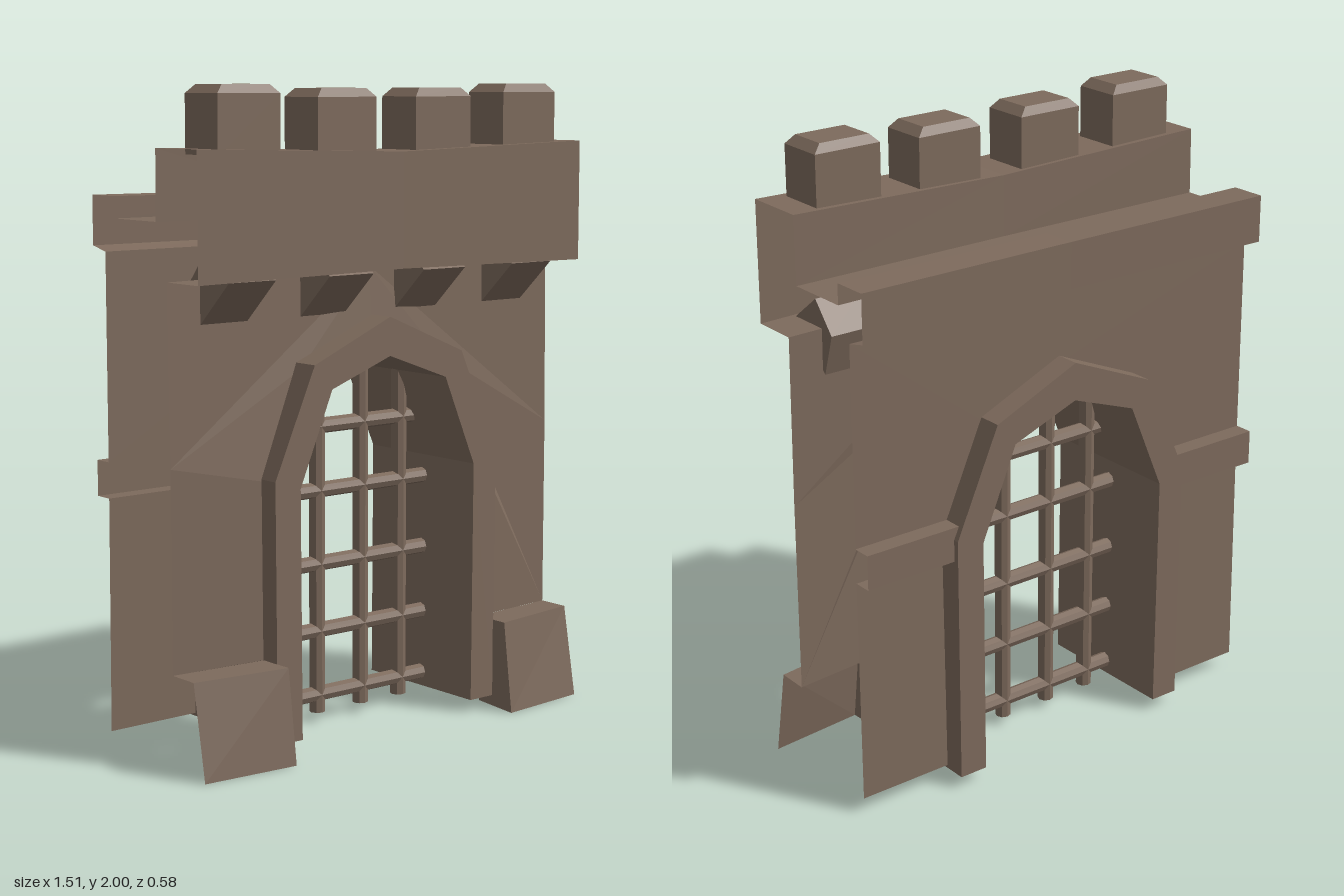
import * as THREE from 'three';

const W = 0.755; // half width of the wall
const stone = new THREE.MeshStandardMaterial({ color: 0x7d6a5c, side: THREE.DoubleSide, flatShading: true });
stone.name = 'brownStone';

// Arch half outlines, from the foot to the crown
const OUTER = [[0.44, 0.04], [0.445, 0.84], [0.295, 1.175], [0, 1.3]];
const INNER = [[0.345, 0.04], [0.35, 0.81], [0.228, 1.097], [0, 1.18]];
const HOLE = [[0.42, 0.04], [0.425, 0.83], [0.28, 1.155], [0, 1.275]]; // wall edge buried in the arch

const mirrorX = pts => pts.map(([x, y]) => [-x, y]).reverse();
const fullArch = half => [...half, ...mirrorX(half).slice(1)];
const toShape = pts => new THREE.Shape(pts.map(([x, y]) => new THREE.Vector2(x, y)));

// Skin between rows of 3D points; side -1 builds the mirror image
function loft(rows, side = 1) {
  const r = side > 0 ? rows : rows.map(row => row.map(([x, y, z]) => [-x, y, z])).reverse();
  const pos = [];
  for (let i = 0; i + 1 < r.length; i++) {
    for (let j = 0; j + 1 < r[i].length; j++) {
      const a = r[i][j], b = r[i + 1][j], c = r[i + 1][j + 1], d = r[i][j + 1];
      pos.push(...a, ...b, ...c, ...a, ...c, ...d);
    }
  }
  const g = new THREE.BufferGeometry();
  g.setAttribute('position', new THREE.Float32BufferAttribute(pos, 3));
  g.computeVertexNormals();
  return g;
}

// Place a [z, y] profile at x
const at = (x, profile) => profile.map(([z, y]) => [x, y, z]);
// Slightly bowed band across the full width
const band = (ends, mid) => loft([at(-W, ends), at(0, mid), at(W, ends)]);

// Flat wall sheet whose depth follows a rule
function sheet(pts, depth, back = false) {
  let g = new THREE.ShapeGeometry(toShape(pts));
  if (back) g.rotateY(Math.PI);
  g = g.toNonIndexed();
  const p = g.attributes.position;
  for (let i = 0; i < p.count; i++) p.setZ(i, depth(Math.abs(p.getX(i)), p.getY(i)));
  g.computeVertexNormals();
  return g;
}

export function createModel() {
  const model = new THREE.Group();
  model.name = 'castleGate';
  const add = (name, geometry, x = 0, y = 0, z = 0) => {
    const m = new THREE.Mesh(geometry, stone);
    m.name = name;
    m.position.set(x, y, z);
    model.add(m);
    return m;
  };

  // Arch surround running through the gate
  const archShape = toShape([...fullArch(OUTER), ...fullArch(INNER).reverse()]);
  add('archSurround', new THREE.ExtrudeGeometry(archShape, { depth: 0.49, bevelEnabled: false }), 0, 0, -0.29);

  // Front wall above the plinths
  const frontHalf = [[0.42, 0.29], ...HOLE.slice(1)];
  add('frontWall',
    sheet([...fullArch(frontHalf), [-W, 0.29], [-W, 0.9], [-W, 1.44], [0, 1.45], [W, 1.44], [W, 0.9], [W, 0.29]].reverse(),
      (x, y) => y > 1.3 ? 0.1 : y > 1.1 ? 0.115 : x > 0.6 ? 0.107 : 0.135));

  // Back wall above the string course
  const backHalf = [[0.405, 0.88], ...HOLE.slice(2)];
  add('backWall',
    sheet([...fullArch(backHalf), [-W, 0.88], [-W, 1.51], [W, 1.51], [W, 0.88]].reverse(), () => -0.212, true));

  // Front parapet, walkway and back rail
  add('parapet', band(
    [[0.1, 1.44], [0.25, 1.44], [0.25, 1.82], [0.05, 1.82], [0.048, 1.61]],
    [[0.1, 1.45], [0.262, 1.45], [0.262, 1.8], [0.056, 1.8], [0.052, 1.61]]));
  add('walkway', band([[0.048, 1.61], [-0.162, 1.61]], [[0.052, 1.61], [-0.15, 1.61]]));
  add('backRail', band(
    [[-0.162, 1.61], [-0.162, 1.675], [-0.277, 1.675], [-0.277, 1.525], [-0.212, 1.51]],
    [[-0.15, 1.61], [-0.15, 1.67], [-0.264, 1.67], [-0.264, 1.525], [-0.212, 1.51]]));

  for (const s of [1, -1]) {
    // Lower back wall with its projecting string course
    const lower = [[-0.212, 0.88], [-0.272, 0.88], [-0.272, 0.77], [-0.212, 0.77], [-0.218, 0.05]];
    add('lowerBackWall', loft([at(0.41, lower), at(W, lower)], s));

    // Sloping plinth, open below and at the outer end
    add('plinth', loft([
      at(0.44, [[0.29, 0], [0.253, 0.29], [0.135, 0.29]]),
      at(W, [[0.262, 0], [0.21, 0.29], [0.107, 0.29]])], s));
    add('plinthSide', loft([
      at(0.44, [[0.138, 0.01], [0.135, 0.29]]),
      at(0.44, [[0.29, 0], [0.253, 0.29]])], s));
  }

  // Merlons with bevelled tops
  for (const [x, top] of [[-0.552, 2], [-0.19, 1.988], [0.19, 1.988], [0.552, 2]]) {
    const ring = (w, d, y) => [[-w, y, d], [w, y, d], [w, y, -d], [-w, y, -d], [-w, y, d]];
    const rows = [ring(0.112, 0.078, 1.8), ring(0.112, 0.078, top - 0.026),
      ring(0.085, 0.062, top), ring(0, 0, top)];
    const columns = rows[0].map((_, i) => rows.map(r => r[i]));
    add('merlon', loft(columns), x, 0, 0.147);
  }

  // Corbels under the parapet
  const corbelShape = toShape([[-0.24, 1.44], [-0.09, 1.3], [-0.05, 1.43], [-0.13, 1.525]]);
  for (const x of [-0.555, -0.185, 0.185, 0.555]) {
    const g = new THREE.ExtrudeGeometry(corbelShape, { depth: 0.17, bevelEnabled: false });
    g.translate(0, 0, -0.085);
    g.rotateY(Math.PI / 2);
    g.scale(1, 1, 1);
    add('corbel', g, x);
  }

  // Portcullis bars
  const barZ = -0.045;
  for (const [x, top] of [[-0.253, 1.1], [-0.09, 1.19], [0.087, 1.19], [0.248, 1.1]]) {
    add('verticalBar', new THREE.CylinderGeometry(0.025, 0.025, top - 0.03, 8), x, (top + 0.03) / 2, barZ);
  }
  for (const y of [0.087, 0.293, 0.508, 0.742, 0.945]) {
    const g = new THREE.CylinderGeometry(0.025, 0.025, y > 0.9 ? 0.62 : 0.72, 8);
    g.rotateZ(Math.PI / 2);
    add('horizontalBar', g, 0, y, barZ);
  }
  return model;
}
